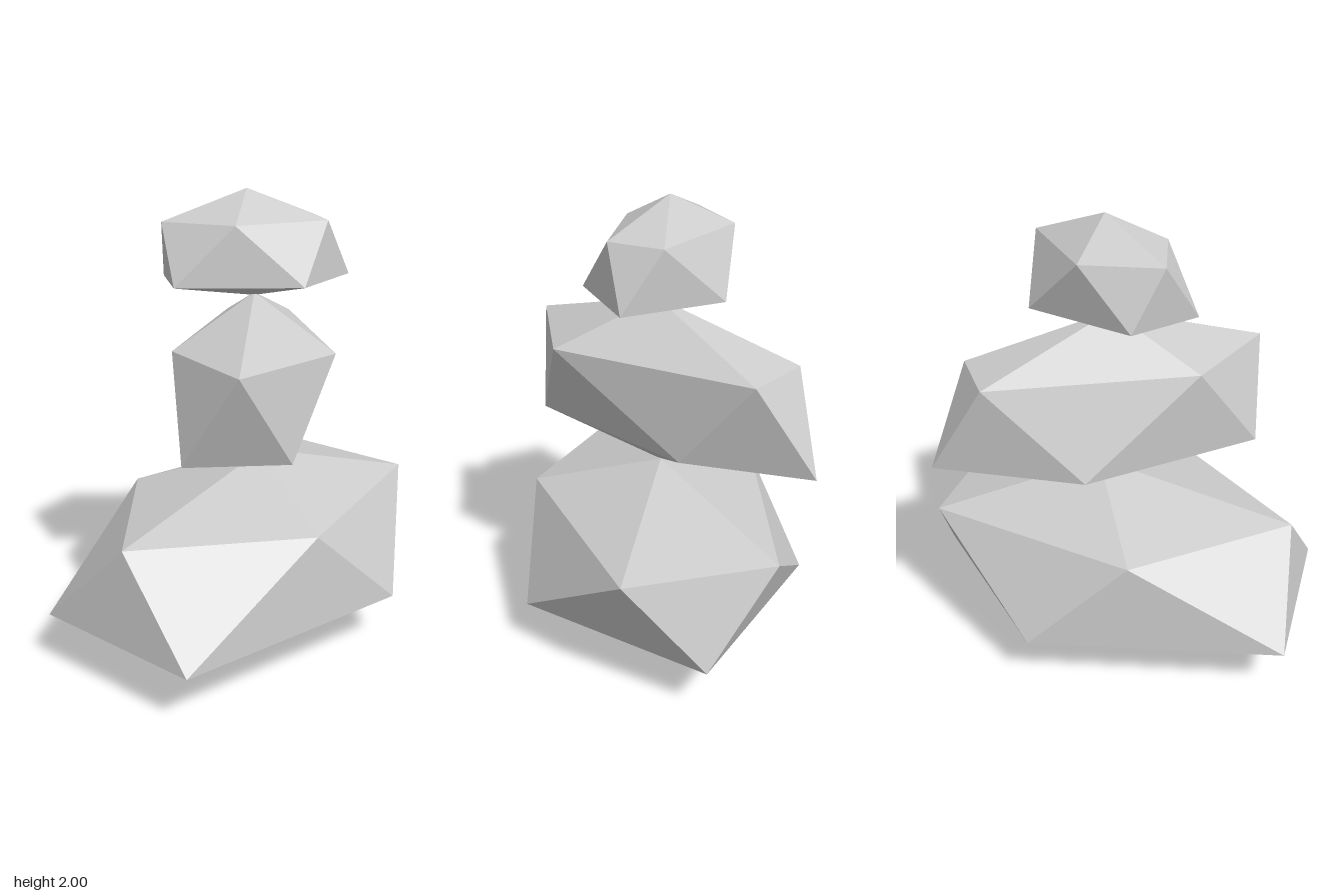
import * as THREE from 'three';

const material = new THREE.MeshStandardMaterial({ color: 0xcccccc, flatShading: true });

// A twenty-sided stone: two poles and two staggered five-point rings of [x, z],
// where lower[i] sits between upper[i] and upper[i + 1].
function createStone(name, { top, bottom, upperY, lowerY, upper, lower }) {
  const u = upper.map(([x, z]) => [x, upperY, z]);
  const l = lower.map(([x, z]) => [x, lowerY, z]);
  const corners = [];
  for (let i = 0; i < 5; i++) {
    const j = (i + 1) % 5;
    corners.push(top, u[j], u[i]); // cap
    corners.push(u[i], u[j], l[i], u[j], l[j], l[i]); // side band
    corners.push(bottom, l[i], l[j]); // underside
  }
  const geometry = new THREE.BufferGeometry();
  geometry.setAttribute('position', new THREE.Float32BufferAttribute(corners.flat(), 3));
  geometry.computeVertexNormals();
  const mesh = new THREE.Mesh(geometry, material);
  mesh.name = name;
  return mesh;
}

export function createModel() {
  const group = new THREE.Group();
  group.name = 'stackedStones';
  group.add(
    // Wide base stone
    createStone('baseStone', {
      top: [0.09, 0.82, 0], bottom: [-0.07, 0, 0],
      upperY: 0.63, lowerY: 0.23,
      upper: [[0.76, -0.33], [0.76, 0.33], [-0.2, 0.53], [-0.81, 0], [-0.2, -0.53]],
      lower: [[0.87, 0], [0.22, 0.65], [-0.87, 0.4], [-0.87, -0.41], [0.22, -0.65]],
    }),
    // Middle stone, stretched along a diagonal
    createStone('middleStone', {
      top: [0.03, 1.56, 0], bottom: [0.04, 0.8, 0],
      upperY: 1.36, lowerY: 0.96,
      upper: [[-0.39, -0.1], [0.43, -0.5], [0.61, -0.25], [0.01, 0.45], [-0.55, 0.4]],
      lower: [[0.01, -0.44], [0.68, -0.5], [0.4, 0], [-0.29, 0.46], [-0.6, 0.14]],
    }),
    // Small top stone
    createStone('topStone', {
      top: [0.04, 2, -0.05], bottom: [0.04, 1.545, -0.01],
      upperY: 1.87, lowerY: 1.62,
      upper: [[-0.27, -0.26], [0.07, -0.32], [0.38, 0.06], [0.22, 0.25], [-0.19, 0.08]],
      lower: [[-0.16, -0.36], [0.32, -0.21], [0.4, 0.24], [-0.02, 0.31], [-0.37, -0.1]],
    }),
  );
  return group;
}
